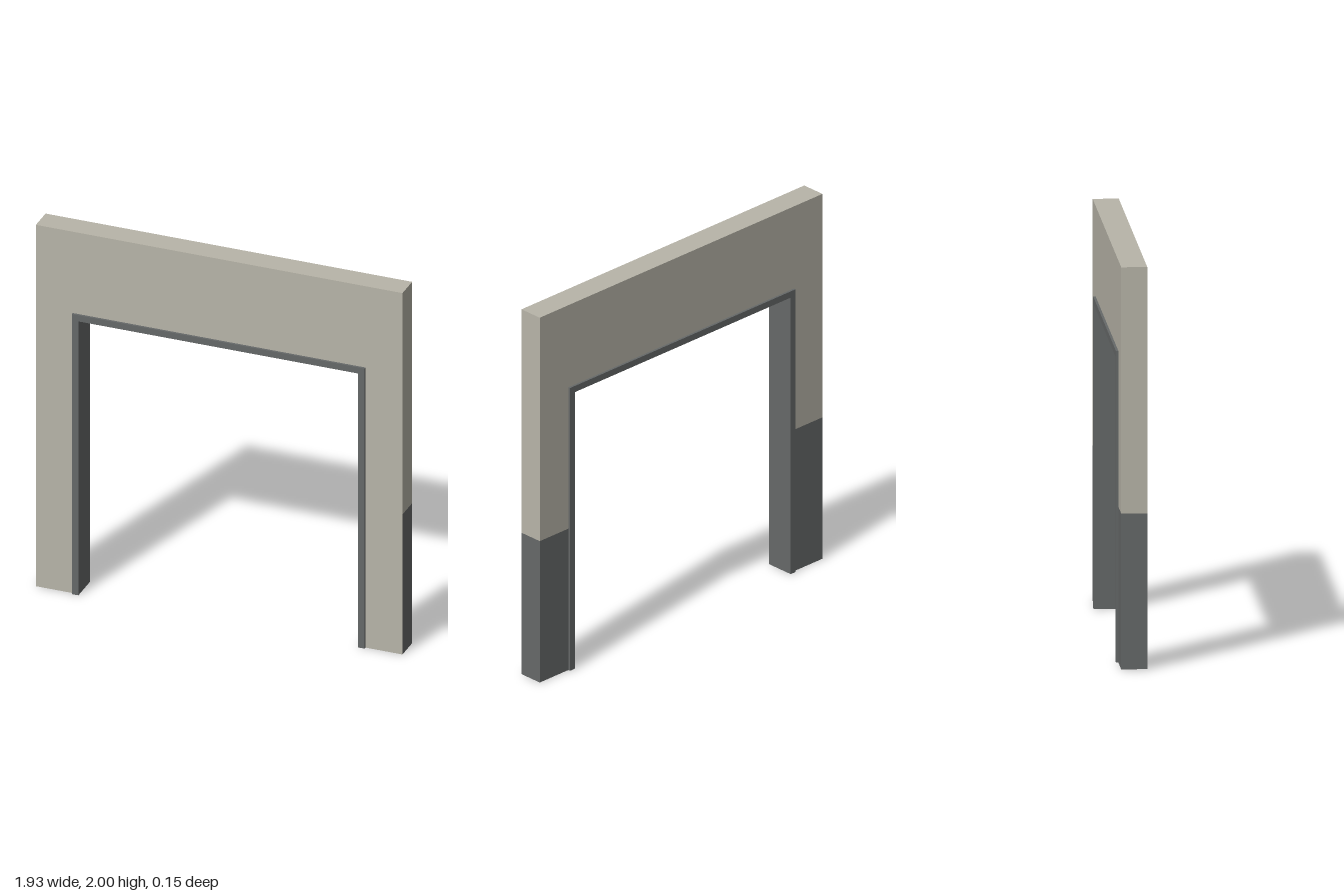
import * as THREE from 'three';

const WALL = { x: 0.967, top: 2, depth: 0.128 };
const FRAME = { x: 0.772, top: 1.55, depth: 0.152, width: 0.034 };
const BASE_TOP = 0.775; // height of the dark base band

// Upside-down U from bottom y0, extruded evenly about z = 0
function archGeometry(outerX, outerTop, innerX, innerTop, y0, depth) {
  const shape = new THREE.Shape([
    [-outerX, y0], [-innerX, y0], [-innerX, innerTop], [innerX, innerTop],
    [innerX, y0], [outerX, y0], [outerX, outerTop], [-outerX, outerTop],
  ].map(([x, y]) => new THREE.Vector2(x, y)));
  const geometry = new THREE.ExtrudeGeometry(shape, { depth, bevelEnabled: false });
  return geometry.translate(0, 0, -depth / 2);
}

export function createModel() {
  const plaster = new THREE.MeshStandardMaterial({ color: 0xb8b5a9 });
  plaster.name = 'beige plaster';
  const dark = new THREE.MeshStandardMaterial({ color: 0x666969 });
  dark.name = 'dark grey';

  const model = new THREE.Group();
  model.name = 'doorway';
  const add = (name, geometry, material) => {
    const mesh = new THREE.Mesh(geometry, material);
    mesh.name = name;
    model.add(mesh);
    return mesh;
  };

  // Upper wall around the opening
  add('upperWall', archGeometry(WALL.x, WALL.top, FRAME.x, FRAME.top, BASE_TOP, WALL.depth), plaster);

  // Lower wall piers: plaster on the front only, dark on the other faces
  const pierWidth = WALL.x - FRAME.x;
  for (const [name, side] of [['leftPier', 1], ['rightPier', -1]]) {
    const pier = add(name, new THREE.BoxGeometry(pierWidth, BASE_TOP, WALL.depth),
      [dark, dark, dark, dark, plaster, dark]);
    pier.position.set(side * (FRAME.x + pierWidth / 2), BASE_TOP / 2, 0);
  }

  // Door frame lining the opening, proud of both wall faces
  add('doorFrame', archGeometry(FRAME.x, FRAME.top, FRAME.x - FRAME.width,
    FRAME.top - FRAME.width, 0, FRAME.depth), dark);

  return model;
}
